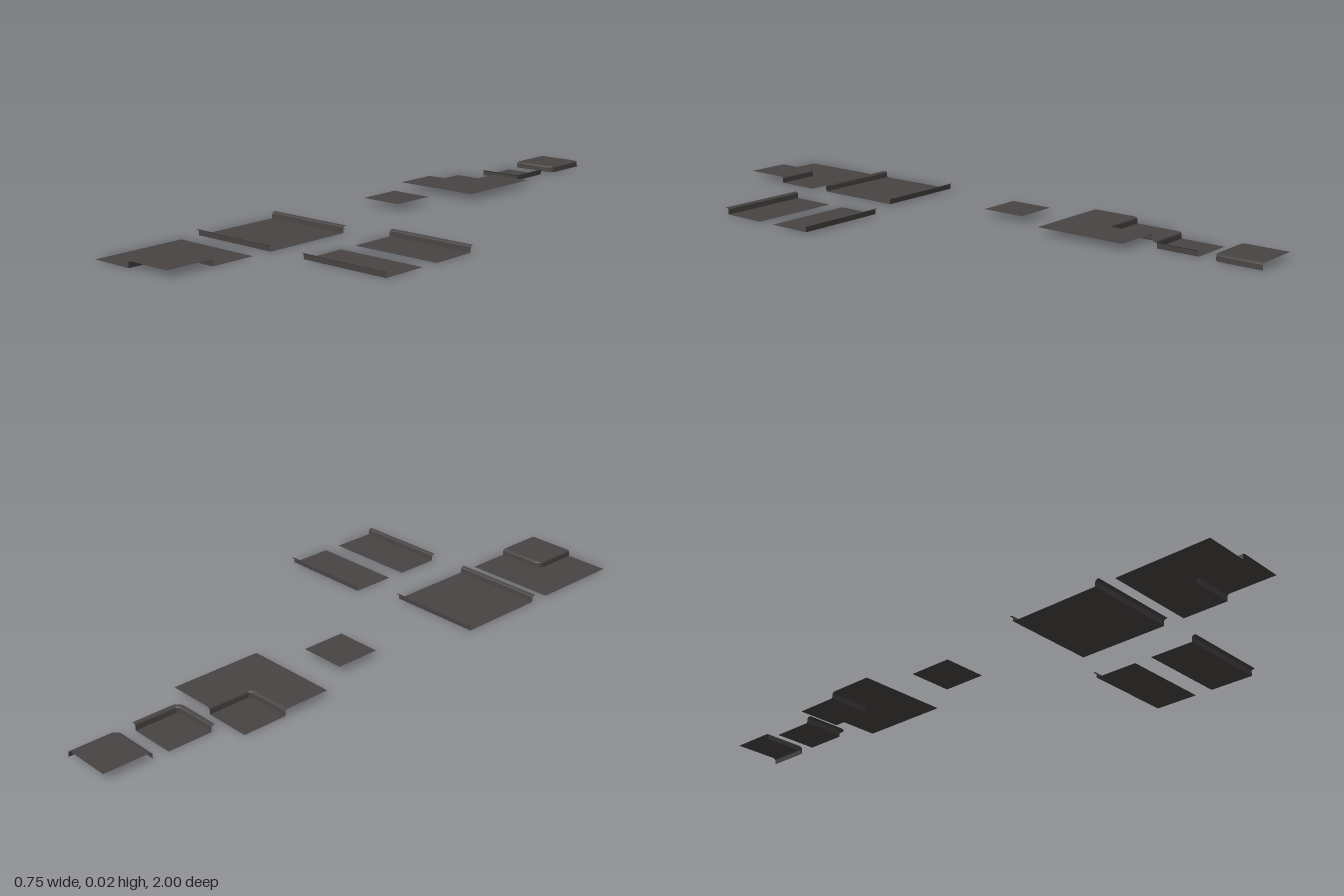
import * as THREE from 'three';
import { toCreasedNormals } from 'three/addons/utils/BufferGeometryUtils.js';

const H = 0.021;      // kerb height
const LIP = 0.013;    // width of the bevelled kerb edge
const TILE = 0.307;   // side of a full tile

// Kerb profiles as [outward offset, height]
const RISING = [[0, 0], [0.001, 0.016], [0.004, 0.0195], [LIP, H]];
const FALLING = [[-LIP, H], [-0.004, 0.0195], [-0.001, 0.016], [0, 0]];

export function createModel() {
  const model = new THREE.Group();
  const asphalt = new THREE.MeshStandardMaterial({ color: 0x484443, side: THREE.DoubleSide });
  asphalt.name = 'dark asphalt';

  const mesh = (name, geometry, parent) => {
    const m = new THREE.Mesh(geometry, asphalt);
    m.name = name;
    parent.add(m);
  };

  const piece = (name, x, z, turned = false) => {
    const g = new THREE.Group();
    g.name = name;
    g.position.set(x, 0, z);
    if (turned) g.rotation.y = Math.PI;
    model.add(g);
    return g;
  };

  // Sweep a profile along a path that depends on the offset
  const sweep = (profile, path) => {
    const pos = [], index = [];
    const n = path(0).length;
    profile.forEach(([d, y], i) => {
      path(d).forEach(([x, z], j) => {
        pos.push(x, y, z);
        if (i && j) {
          const c = i * n + j, a = c - n;
          index.push(a - 1, a, c - 1, a, c, c - 1);
        }
      });
    });
    const geo = new THREE.BufferGeometry();
    geo.setAttribute('position', new THREE.Float32BufferAttribute(pos, 3));
    geo.setIndex(index);
    return toCreasedNormals(geo, 0.6);
  };

  // Flat sheet facing up, outlined in x and z
  const sheet = (points, y) => {
    const geo = new THREE.ShapeGeometry(new THREE.Shape(points.map(p => new THREE.Vector2(...p))));
    geo.rotateX(Math.PI / 2).translate(0, y, 0);
    geo.index.array.reverse();
    geo.computeVertexNormals();
    return geo;
  };

  // Two straight sides of length s joined by a rounded corner
  const cornerPath = (s, r) => d => {
    const pts = [[s + d, 0]];
    for (let i = 0; i <= 6; i++) {
      const t = i / 6 * Math.PI / 2;
      pts.push([s - r + (r + d) * Math.cos(t), s - r + (r + d) * Math.sin(t)]);
    }
    pts.push([0, s + d]);
    return pts;
  };

  // Square with a kerb round one corner, optionally set in a full tile
  const corner = (group, s, r, profile, full) => {
    const path = cornerPath(s, r);
    const [d0, y0] = profile[0];
    const [d1, y1] = profile[profile.length - 1];
    mesh('cornerSurface', sheet([[0, 0], ...path(d0)], y0), group);
    mesh('cornerKerb', sweep(profile, path), group);
    if (full) {
      mesh('surroundingSurface', sheet([...path(d1), [0, TILE], [TILE, TILE], [TILE, 0]], y1), group);
    }
  };

  // Half road with a straight kerb along its outer side
  const halfRoad = (group, w) => {
    const path = d => [[TILE / 2, w + d], [-TILE / 2, w + d]];
    mesh('roadSurface', sweep([[-w, 0], [0, 0]], path), group);
    mesh('straightKerb', sweep(RISING, path), group);
  };

  // Corner pieces
  corner(piece('raisedCornerPiece', -0.303, -1), 0.158, 0.025, FALLING, false);
  corner(piece('loweredCornerPiece', -0.303, -0.79), 0.146, 0.012, RISING, false);
  corner(piece('loweredCornerTile', -0.375, -0.587), 0.148, 0.012, RISING, true);
  corner(piece('raisedCornerTile', -0.068, 1, true), 0.16, 0.025, FALLING, true);

  // Plain raised filler
  const a = 0.075;
  mesh('fillerSurface', sheet([[-a, -a], [a, -a], [a, a], [-a, a]], H),
    piece('fillerPiece', -0.223, -0.083));

  // Full road from two mirrored halves
  halfRoad(piece('roadFrontHalf', -0.2215, 0.4765), 0.1485);
  halfRoad(piece('roadBackHalf', -0.2215, 0.4765, true), 0.1485);

  // Separate kerbed road halves
  halfRoad(piece('frontKerbPiece', 0.2185, 0.477), 0.148);
  halfRoad(piece('backKerbPiece', 0.2185, 0.418, true), 0.148);

  return model;
}
